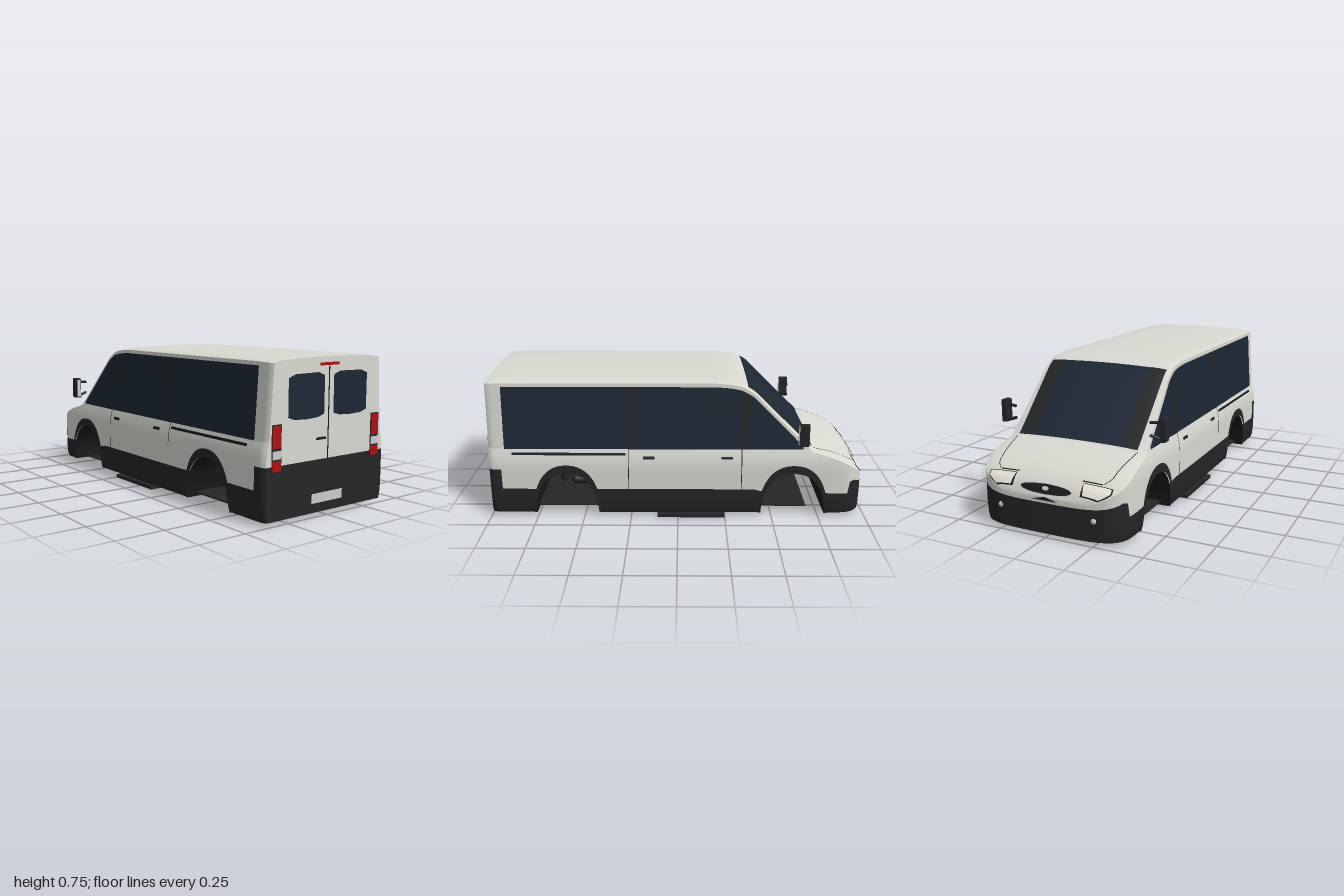
import * as THREE from 'three';

const mat = (color) => new THREE.MeshStandardMaterial({ color, side: THREE.DoubleSide });
const WHITE = mat(0xd9d9d2), DARK = mat(0x232527), GLASS = mat(0x1c2735), BLACK = mat(0x17191b);
const RED = mat(0xb01010), SILVER = mat(0xc4c5c8), LENS = mat(0xeeeade);
const REAR = 0.994, EDGE = 0.018, BELT = 0.38;

// piecewise linear curve through [t, value] points with rising t
const curve = (pts) => (t) => {
  if (t <= pts[0][0]) return pts[0][1];
  for (let i = 1; i < pts.length; i++) {
    const [a, va] = pts[i - 1], [b, vb] = pts[i];
    if (t <= b) return va + (vb - va) * (t - a) / (b - a);
  }
  return pts[pts.length - 1][1];
};
const range = (a, b, n) => Array.from({ length: n + 1 }, (_, i) => a + (b - a) * i / n);

// body rules: centre-line height, half width by height, plan taper, cladding top
const topLine = curve([[-1, 0.2], [-0.985, 0.232], [-0.97, 0.256], [-0.93, 0.295], [-0.86, 0.335], [-0.8, 0.357],
  [-0.705, 0.385], [-0.66, 0.427], [-0.405, 0.683], [-0.38, 0.703], [-0.33, 0.73], [-0.28, 0.74], [-0.2, 0.747],
  [0.9, 0.747], [1, 0.743]]);
const profile = curve([[0.02, 0.383], [0.04, 0.39], [0.1, 0.395], [0.29, 0.394], [0.33, 0.389], [0.36, 0.381],
  [0.38, 0.375], [0.74, 0.35]]);
const plan = (z) => {
  if (z > 0.95) return 1 - 0.03 * ((z - 0.95) / 0.044) ** 3;
  const u = Math.min(1, Math.max(0, (-0.75 - z) / 0.25));
  return (1 - u ** 5) ** 0.25;
};
const width = (y, z) => profile(y) * plan(z);
const sideTop = (z) => topLine(z) - EDGE;
const cladding = curve([[-1, 0.17], [-0.93, 0.21], [-0.91, 0.2], [-0.9, 0.135], [-0.44, 0.15], [-0.4, 0.16],
  [0.929, 0.16], [0.93, 0.27], [1, 0.27]]);

// wheel arches
const ARCHES = [[-0.611, 0.169], [0.588, 0.166]];
const arch = (z, c, r, h) => {
  const d = Math.abs(z - c) / r;
  return d >= 1 ? 0.02 : 0.02 + h * (1 - d ** 2.3) ** 0.45;
};
const sill = (z) => Math.max(...ARCHES.map(([c, r]) => arch(z, c, r, 0.23)));
const archStations = (c, r) => range(0, Math.PI, 36).map((a) => c - r * Math.cos(a));
const STATIONS = [
  ...range(0, 1, 16).map((t) => -1 + 0.2 * t ** 3), ...range(-0.79, 0.94, 90), ...range(0.95, REAR, 5),
  ...ARCHES.flatMap(([c, r]) => archStations(c, r)), -0.91, -0.9, 0.929, 0.93].sort((a, b) => a - b);
const stations = (a, b) => [a, ...STATIONS.filter((z) => z > a && z < b), b];

// smooth sheet over two parameter lists
function sheet(us, vs, f) {
  const pos = [], idx = [], n = vs.length;
  us.forEach((u, i) => vs.forEach((v, j) => {
    pos.push(...f(u, v));
    if (i && j) {
      const d = i * n + j, b = d - n;
      idx.push(b - 1, b, d, b - 1, d, d - 1);
    }
  }));
  const g = new THREE.BufferGeometry();
  g.setAttribute('position', new THREE.Float32BufferAttribute(pos, 3));
  g.setIndex(idx);
  g.computeVertexNormals();
  return g;
}

export function createModel() {
  const root = new THREE.Group();
  const add = (name, geo, material) => {
    const m = new THREE.Mesh(geo, material);
    m.name = name;
    root.add(m);
    return m;
  };
  const box = (name, material, w, h, d, x, y, z) =>
    add(name, new THREE.BoxGeometry(w, h, d), material).position.set(x, y, z);

  // panel on both flanks between two heights
  const flank = (name, material, z0, z1, lo, hi, off = 0, rows = 8) => {
    for (const s of [-1, 1]) {
      add((s > 0 ? 'left' : 'right') + name, sheet(stations(z0, z1), range(0, 1, rows), (z, v) => {
        const a = lo(z), y = a + Math.max(0, hi(z) - a) * v;
        return [s * (width(y, z) + off), y, z];
      }), material);
    }
  };
  const at = (y) => () => y;

  // patch lying on the roof, windscreen or bonnet
  const crown = (x, z) => {
    const s = Math.min(1, Math.abs(x) / Math.max(1e-4, width(sideTop(z), z)));
    return topLine(z) - 0.01 * s * s - 0.008 * s ** 12;
  };
  const topPatch = (name, material, zs, x0, x1, off = 0.003, cols = 12) =>
    add(name, sheet(zs, range(0, 1, cols), (z, v) => {
      const x = x0(z) + (x1(z) - x0(z)) * v;
      return [x, crown(x, z) + off, z - (z < -0.3 ? off * 0.7 : 0)];
    }), material);

  // shell
  flank('Cladding', DARK, -1, REAR, sill, (z) => Math.max(sill(z), cladding(z)));
  flank('LowerSide', WHITE, -1, REAR, (z) => Math.max(sill(z), cladding(z)), (z) => Math.min(BELT, sideTop(z)));
  flank('UpperSide', WHITE, -0.72, REAR, (z) => Math.min(BELT, sideTop(z)), sideTop, 0, 4);
  const roofEdge = (z) => width(sideTop(z), z);
  topPatch('roofAndBonnet', WHITE, STATIONS, (z) => -roofEdge(z), roofEdge, 0, 40);
  add('rearBumper', sheet(range(-1, 1, 16), range(0.02, 0.27, 10),
    (s, y) => [s * width(y, REAR), y, REAR]), DARK);
  add('rearDoors', sheet(range(-1, 1, 24), range(0, 1, 14), (s, v) => {
    const yEdge = 0.27 + (sideTop(REAR) - 0.27) * v;
    const x = s * width(yEdge, REAR);
    return [x, 0.27 + (crown(s * roofEdge(REAR), REAR) - 0.27) * v, REAR];
  }), WHITE);

  // underside, floor and wheel housings
  [[-1, -0.78], [-0.442, 0.422], [0.754, REAR]].forEach(([a, b]) => add('underside',
    sheet(stations(a, b), [-1, 1], (z, s) => [s * width(0.02, z), 0.02, z]), DARK));
  box('floor', DARK, 0.68, 0.006, 1.45, 0, 0.041, 0.035);
  ARCHES.forEach(([c, r]) => {
    add('wheelHousing', sheet(archStations(c, r), [-1, 1], (z, s) => {
      const y = sill(z);
      return [s * width(y, z), y, z];
    }), BLACK);
    flank('ArchFlare', DARK, c - r - 0.015, c + r + 0.015, sill,
      (z) => Math.max(sill(z), arch(z, c, r + 0.015, 0.275)), 0.005, 4);
  });
  for (const s of [-1, 1]) {
    const rail = add('chassisRail', new THREE.CapsuleGeometry(0.027, 1.03, 4, 12), DARK);
    rail.rotation.x = Math.PI / 2;
    rail.position.set(s * 0.2, 0.135, 0.05);
    const damper = add('damper', new THREE.CapsuleGeometry(0.022, 0.06, 4, 12), DARK);
    damper.position.set(s * 0.28, 0.21, 0.615);
    box('runningBoard', DARK, 0.065, 0.018, 0.36, s * 0.373, 0.009, -0.07);
  }

  // side glazing, pillars, seams, handles
  const glassTop = (z) => Math.min(0.72, sideTop(z) - 0.018);
  flank('SideGlass', GLASS, -0.655, 0.91, at(BELT), glassTop, 0.003, 4);
  flank('MiddlePillar', DARK, 0.21, 0.26, at(BELT), glassTop, 0.005, 4);
  flank('FrontPillar', DARK, -0.375, -0.325, at(BELT), glassTop, 0.005, 4);
  flank('SlidingRail', BLACK, 0.275, 0.87, at(0.349), at(0.362), 0.004, 2);
  flank('RearDoorSeam', BLACK, 0.258, 0.262, at(0.16), at(BELT), 0.002);
  flank('FrontDoorSeam', BLACK, -0.337, -0.333, at(0.16), at(BELT), 0.002);
  flank('SlidingHandle', BLACK, 0.122, 0.182, at(0.33), at(0.345), 0.008, 2);
  flank('FrontHandle', BLACK, -0.288, -0.228, at(0.33), at(0.345), 0.008, 2);

  // windscreen and bonnet seam
  const screen = stations(-0.7, -0.36);
  topPatch('windscreen', GLASS, screen, at(-0.33), at(0.33), 0.003);
  const seam = curve([[-0.94, 0.27], [-0.93, 0.293], [-0.9, 0.306], [-0.7, 0.335]]);
  for (const s of [-1, 1]) {
    topPatch('windscreenBorder', DARK, screen, at(s * 0.245), at(s * 0.33), 0.005);
    topPatch('bonnetSeam', BLACK, stations(-0.94, -0.71), (z) => s * seam(z), (z) => s * (seam(z) + 0.004), 0.002, 2);
    topPatch('bonnetSeam', BLACK, [-0.942, -0.938], at(s * 0.17), at(s * 0.272), 0.002);
    // headlights and fog lamps
    const lampOuter = (z) => Math.min(0.325, roofEdge(z) - 0.012);
    topPatch('headlampFrame', BLACK, range(-0.987, -0.946, 8), at(s * 0.18), (z) => s * (lampOuter(z) + 0.006), 0.002);
    topPatch('headlamp', LENS, range(-0.985, -0.949, 8), (z) => s * (0.187 - (z + 0.967) * 0.3),
      (z) => s * lampOuter(z), 0.004);
    const fog = add('fogLamp', new THREE.SphereGeometry(0.014, 16, 10), SILVER);
    fog.scale.z = 0.5;
    fog.position.set(s * 0.25, 0.12, -0.99);
  }
  const oval = (a, mid, h) => (z) => a * Math.sqrt(Math.max(0, 1 - ((z - mid) / h) ** 2));
  const grille = (name, m, a, h, off) => topPatch(name, m, range(-0.984 - h, -0.984 + h, 14),
    (z) => -oval(a, -0.984, h)(z), oval(a, -0.984, h), off);
  grille('grilleRim', SILVER, 0.145, 0.0135, 0.002);
  grille('grille', BLACK, 0.135, 0.0115, 0.003);
  grille('grilleCentre', SILVER, 0.018, 0.005, 0.005);

  // rear windows, lights, plate, handle
  const pane = new THREE.Shape([[0.03, 0.48], [0.07, 0.468], [0.14, 0.464], [0.215, 0.467], [0.256, 0.48],
    [0.256, 0.655], [0.215, 0.671], [0.07, 0.673], [0.03, 0.658]].map(([x, y]) => new THREE.Vector2(x, y)));
  for (const s of [-1, 1]) {
    const glass = add('rearWindow', new THREE.ShapeGeometry(pane), GLASS);
    glass.scale.x = s;
    glass.position.z = REAR + 0.002;
    box('tailLampHousing', DARK, 0.057, 0.212, 0.02, s * 0.322, 0.35, 0.986);
    box('tailLamp', RED, 0.05, 0.1, 0.02, s * 0.322, 0.4, 0.989);
    box('reverseLamp', SILVER, 0.05, 0.037, 0.02, s * 0.322, 0.32, 0.989);
    box('lowerTailLamp', RED, 0.05, 0.046, 0.02, s * 0.322, 0.27, 0.989);

    // door mirrors
    box('mirrorShell', DARK, 0.028, 0.115, 0.05, s * 0.442, 0.483, -0.645);
    box('mirrorGlass', SILVER, 0.02, 0.1, 0.004, s * 0.442, 0.483, -0.619);
    [[0.518, 0.523], [0.44, 0.432]].forEach(([yOut, yIn], i) => {
      const path = new THREE.LineCurve3(new THREE.Vector3(s * 0.375, i ? 0.452 : 0.513, -0.66),
        new THREE.Vector3(s * 0.435, i ? yIn : yOut, -0.65));
      add('mirrorArm', new THREE.TubeGeometry(path, 1, 0.008, 8), DARK);
    });
  }
  box('rearDoorSeam', BLACK, 0.005, 0.43, 0.004, 0, 0.485, REAR);
  box('rearHandle', BLACK, 0.056, 0.011, 0.012, -0.048, 0.368, REAR);
  box('highBrakeLamp', RED, 0.12, 0.013, 0.012, 0, 0.709, REAR);
  box('numberPlate', SILVER, 0.2, 0.045, 0.008, 0, 0.088, REAR);
  return root;
}
